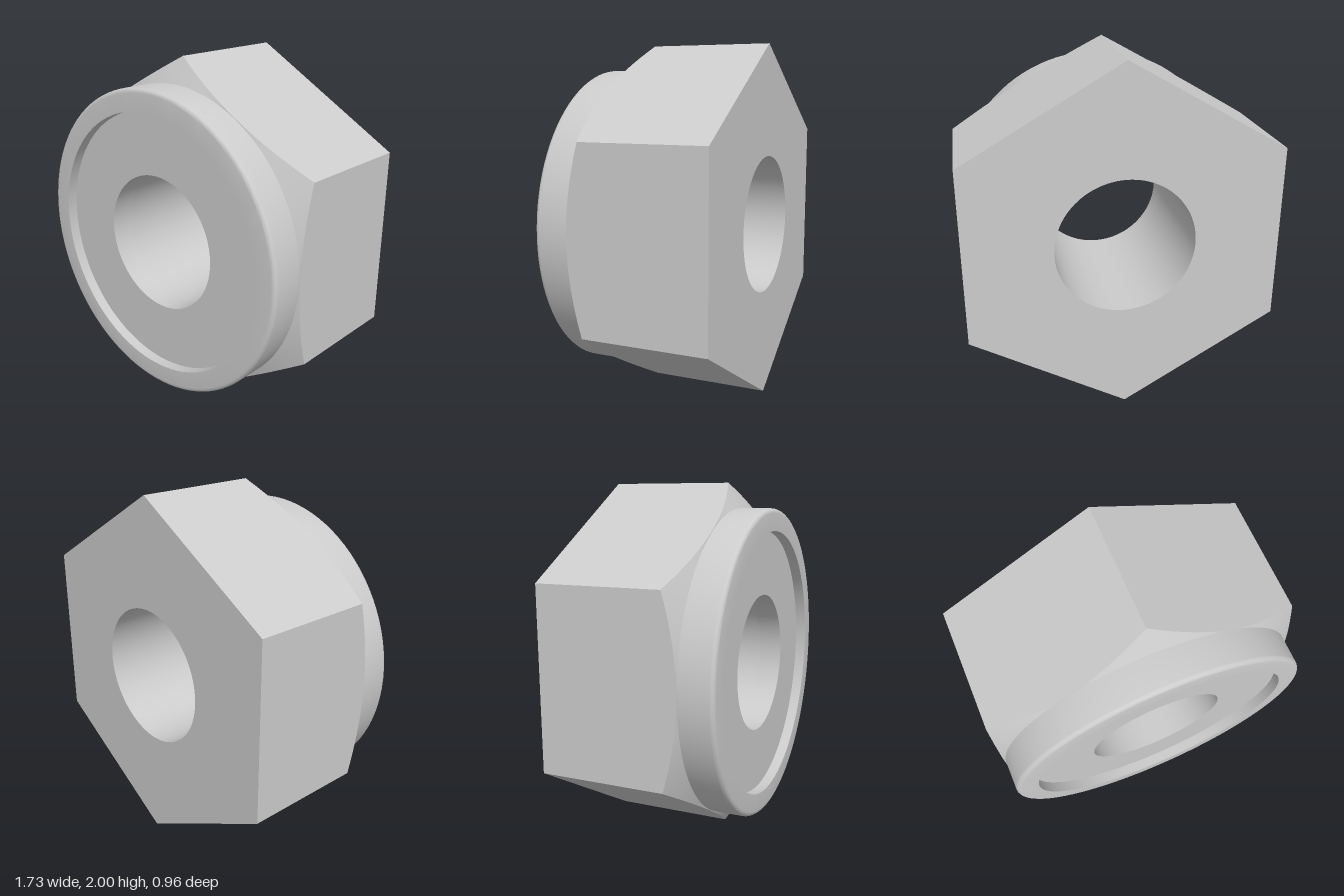
import * as THREE from 'three';
import { toCreasedNormals } from 'three/addons/utils/BufferGeometryUtils.js';

const SEGMENTS = 96; // divisible by 12 so the hexagon corners fall on a segment
const APOTHEM = Math.sqrt(3) / 2;
const BORE = 0.386, COLLAR = 0.863;
const BACK = -0.48, SHOULDER = 0.29, FLOOR = 0.42, FRONT = 0.48;

// Distance from the axis to the hexagon outline at a given segment
function hexRadius(i) {
  const perSide = SEGMENTS / 6;
  const k = ((i + perSide / 2) % perSide) - perSide / 2;
  return APOTHEM / Math.cos((k / SEGMENTS) * Math.PI * 2);
}

// Sweep a (radius, z) cross-section that may change with the angle around z
function sweep(sectionAt) {
  const positions = [], index = [];
  const n = sectionAt(0).length;
  for (let i = 0; i <= SEGMENTS; i++) {
    const angle = ((i % SEGMENTS) / SEGMENTS) * Math.PI * 2;
    for (const [r, z] of sectionAt(i)) {
      positions.push(r * Math.cos(angle), r * Math.sin(angle), z);
    }
  }
  for (let i = 0; i < SEGMENTS; i++) {
    for (let j = 0; j < n - 1; j++) {
      const a = i * n + j, b = a + n;
      index.push(a, b, a + 1, b, b + 1, a + 1);
    }
  }
  const geometry = new THREE.BufferGeometry();
  geometry.setAttribute('position', new THREE.Float32BufferAttribute(positions, 3));
  geometry.setIndex(index);
  return toCreasedNormals(geometry, 0.45);
}

export function createModel() {
  const group = new THREE.Group();
  group.name = 'lockNut';
  const material = new THREE.MeshStandardMaterial({ color: 0xcccccc });

  function addPart(name, sectionAt) {
    const mesh = new THREE.Mesh(sweep(sectionAt), material);
    mesh.name = name;
    mesh.position.y = 1;
    group.add(mesh);
  }

  // Hexagonal body: bore, flat back, six flats and a 30 degree conical chamfer
  addPart('hexBody', (i) => {
    const r = hexRadius(i);
    const top = SHOULDER - (r - APOTHEM) * Math.tan(Math.PI / 6);
    return [[BORE, SHOULDER], [BORE, BACK], [r, BACK], [r, top], [COLLAR, SHOULDER]];
  });

  // Round collar with a rounded front edge and a recess inside the rim
  const fillet = 0.025;
  const collar = [[COLLAR, SHOULDER]];
  for (let k = 0; k <= 5; k++) {
    const t = (k / 5) * Math.PI / 2;
    collar.push([COLLAR - fillet + fillet * Math.cos(t), FRONT - fillet + fillet * Math.sin(t)]);
  }
  collar.push([0.74, FRONT], [0.74, FLOOR]);
  addPart('collar', () => collar);

  // Locking insert seated in the recess
  addPart('lockingInsert', () => [[0.74, FLOOR], [BORE, FLOOR], [BORE, SHOULDER]]);

  return group;
}
